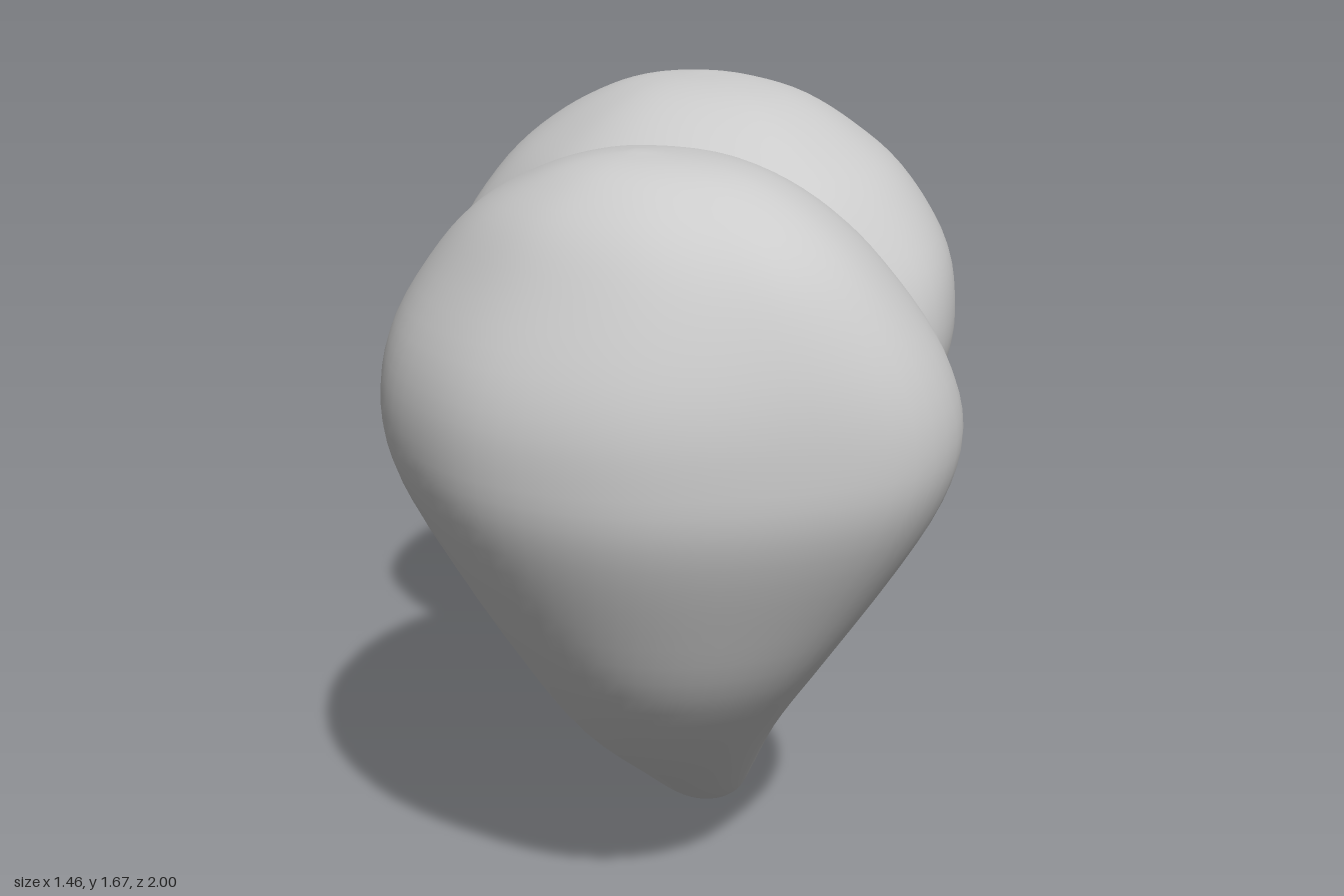
import * as THREE from 'three';

const SIDES = 72, RINGS = 60;

// Plan outlines [x, z] at the widest height, counter-clockwise seen from above; last points are the inner face
const frontPlan = [
  [-0.3, -0.21], [-0.43, -0.17], [-0.6, 0], [-0.7, 0.2], [-0.73, 0.42], [-0.7, 0.58], [-0.62, 0.75],
  [-0.5, 0.87], [-0.33, 0.96], [-0.08, 0.995], [0.2, 0.955], [0.31, 0.87], [0.37, 0.76], [0.385, 0.67],
  [0.37, 0.55], [0.33, 0.38], [0.28, 0.2], [0.21, 0.08], [0.08, -0.045], [-0.12, -0.16],
];
const backPlan = [
  [0.28, 0.2], [0.4, 0.18], [0.53, 0.12], [0.61, 0.04], [0.69, -0.12], [0.725, -0.34], [0.69, -0.58],
  [0.6, -0.76], [0.48, -0.88], [0.3, -0.97], [0.12, -1], [-0.06, -0.97], [-0.26, -0.88], [-0.38, -0.79],
  [-0.45, -0.65], [-0.46, -0.55], [-0.41, -0.38], [-0.31, -0.21], [-0.21, -0.08], [-0.08, 0.045], [0.12, 0.16],
];
// Proportions of the plan near the tip, where the lobes meet on a steeper diagonal
const tipPlan = [
  [0.6, 0], [0.42, 0.07], [0.23, 0.215], [0.08, 0.41], [0, 0.62], [0.03, 0.78], [0.13, 0.91], [0.3, 0.99],
  [0.5, 1], [0.7, 0.94], [0.85, 0.83], [0.95, 0.66], [0.99, 0.5], [1, 0.34], [0.94, 0.21], [0.84, 0.1], [0.72, 0.02],
];
// Proportions of the plan near the top, drawn out toward the ridge
const topPlan = [
  [0.4, 0], [0.24, 0.07], [0.09, 0.21], [0.01, 0.38], [0, 0.49], [0.03, 0.61], [0.1, 0.74], [0.21, 0.85],
  [0.36, 0.94], [0.54, 0.99], [0.7, 1], [0.87, 0.93], [0.97, 0.79], [1, 0.64], [0.98, 0.45], [0.93, 0.3],
  [0.83, 0.17], [0.64, 0.05],
];
const turned = (plan) => plan.map(([u, v]) => [1 - u, 1 - v]);

// Extents per height: [y, xMin, xMax, zMin, zMax]
const frontRows = [
  [0, 0.07, 0.07, 0.02, 0.02], [0.03, 0, 0.095, -0.01, 0.11], [0.1, -0.085, 0.11, -0.03, 0.245],
  [0.23, -0.2, 0.125, -0.07, 0.415], [0.4, -0.35, 0.15, -0.1, 0.61], [0.6, -0.485, 0.215, -0.14, 0.79],
  [0.8, -0.61, 0.3, -0.17, 0.9], [1, -0.705, 0.365, -0.2, 0.985], [1.15, -0.73, 0.385, -0.21, 1],
  [1.3, -0.7, 0.34, -0.16, 0.985], [1.45, -0.61, 0.24, -0.06, 0.935], [1.55, -0.525, 0.14, 0.09, 0.865],
  [1.62, -0.42, 0.03, 0.27, 0.765], [1.655, -0.33, -0.08, 0.41, 0.665], [1.67, -0.23, -0.23, 0.54, 0.54],
];
const backRows = [
  [0, 0.07, 0.07, 0.02, 0.02], [0.03, 0.045, 0.11, -0.085, 0.055], [0.1, 0.03, 0.185, -0.2, 0.08],
  [0.23, 0, 0.305, -0.39, 0.11], [0.4, -0.07, 0.43, -0.59, 0.14], [0.6, -0.175, 0.54, -0.775, 0.165],
  [0.8, -0.3, 0.63, -0.9, 0.185], [1, -0.415, 0.705, -0.98, 0.2], [1.15, -0.46, 0.725, -1, 0.19],
  [1.3, -0.43, 0.71, -0.985, 0.145], [1.45, -0.32, 0.625, -0.935, 0.05], [1.55, -0.2, 0.515, -0.855, -0.09],
  [1.62, -0.08, 0.4, -0.74, -0.24], [1.655, 0.03, 0.28, -0.645, -0.39], [1.667, 0.17, 0.17, -0.55, -0.55],
];

// Smooth closed outline, scaled to the unit square
function unitOutline(plan) {
  const curve = new THREE.CatmullRomCurve3(plan.map(([x, z]) => new THREE.Vector3(x, 0, z)), true);
  const points = curve.getSpacedPoints(SIDES).slice(0, SIDES);
  const box = new THREE.Box3().setFromPoints(points);
  const size = box.getSize(new THREE.Vector3());
  return points.map((p) => [(p.x - box.min.x) / size.x, (p.z - box.min.z) / size.z]);
}

// Loft through the tip, middle and top outlines, closed by one vertex at each end
function lobeGeometry(plans, rows) {
  const { lerp, smoothstep } = THREE.MathUtils;
  const [low, mid, high] = plans.map(unitOutline);
  const spline = (a, b) => new THREE.CatmullRomCurve3(
    rows.map((r) => new THREE.Vector3(r[0], r[a], r[b])), false, 'catmullrom', 0.5);
  const xs = spline(1, 2), zs = spline(3, 4);
  const first = rows[0], last = rows[rows.length - 1];
  const pos = [first[1], first[0], first[3]], index = [];

  for (let i = 1; i < RINGS; i++) {
    const x = xs.getPoint(i / RINGS), z = zs.getPoint(i / RINGS);
    const toMid = smoothstep(x.x, 0.2, 1.15), toHigh = smoothstep(x.x, 1.15, 1.6);
    for (let j = 0; j < SIDES; j++) {
      const [u, v] = [0, 1].map((k) => lerp(lerp(low[j][k], mid[j][k], toMid), high[j][k], toHigh));
      pos.push(lerp(x.y, x.z, u), x.x, lerp(z.y, z.z, v));
    }
  }
  pos.push(last[1], last[0], last[3]);
  const top = pos.length / 3 - 1;
  const at = (i, j) => 1 + (i - 1) * SIDES + (j % SIDES);

  for (let j = 0; j < SIDES; j++) {
    index.push(0, at(1, j + 1), at(1, j));
    for (let i = 1; i < RINGS - 1; i++) {
      const a = at(i, j), b = at(i, j + 1), c = at(i + 1, j + 1), d = at(i + 1, j);
      index.push(a, b, c, a, c, d);
    }
    index.push(at(RINGS - 1, j), at(RINGS - 1, j + 1), top);
  }
  const geometry = new THREE.BufferGeometry();
  geometry.setAttribute('position', new THREE.Float32BufferAttribute(pos, 3));
  geometry.setIndex(index);
  geometry.computeVertexNormals();
  return geometry;
}

export function createModel() {
  const group = new THREE.Group();
  group.name = 'heart';
  const material = new THREE.MeshStandardMaterial({ color: 0xcccccc });
  const lobes = [
    ['frontLobe', [tipPlan, frontPlan, topPlan], frontRows],
    ['backLobe', [turned(tipPlan), backPlan, turned(topPlan)], backRows],
  ];
  for (const [name, plans, rows] of lobes) {
    const lobe = new THREE.Mesh(lobeGeometry(plans, rows), material);
    lobe.name = name;
    group.add(lobe);
  }
  return group;
}
